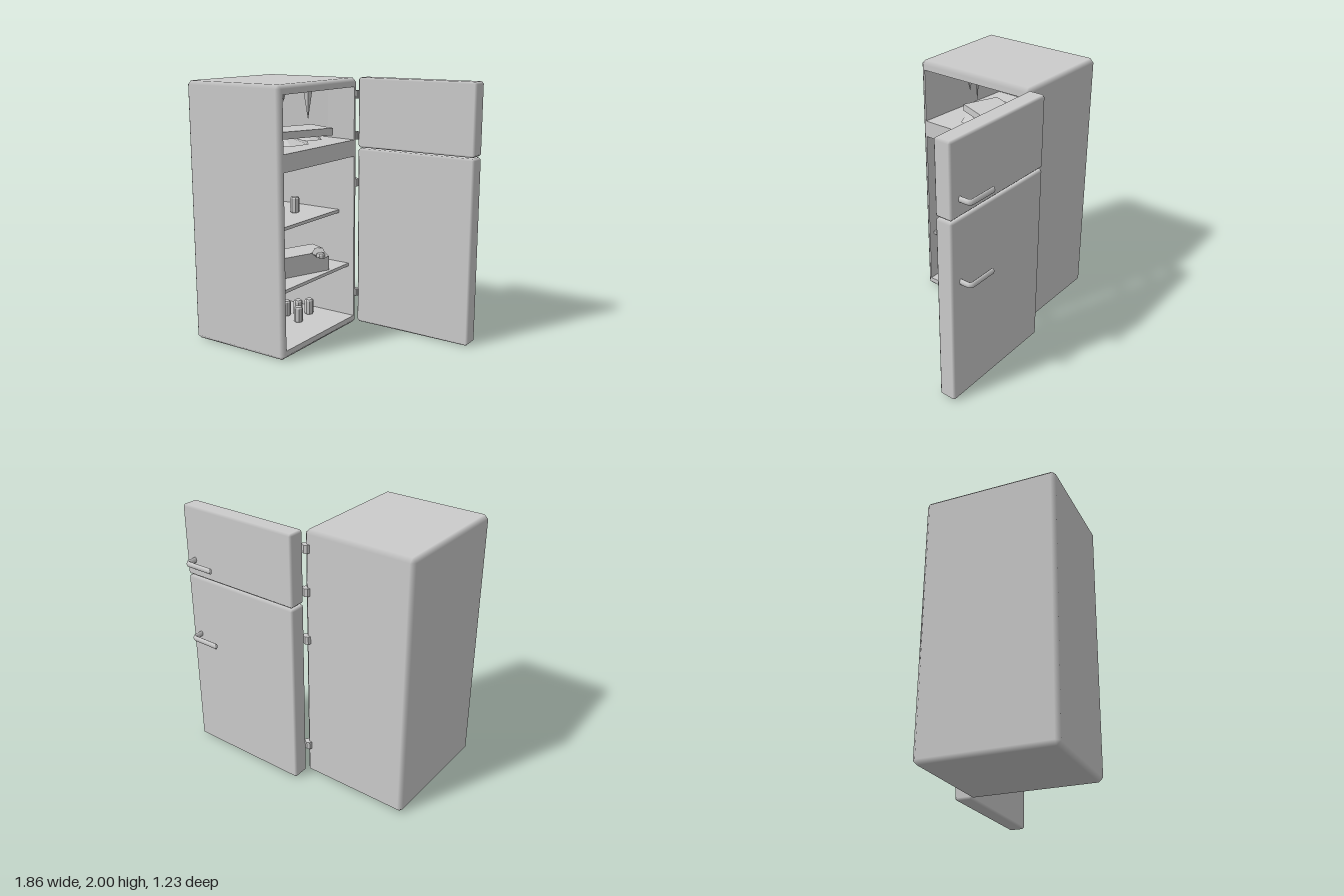
import * as THREE from 'three';
import { ConvexGeometry } from 'three/addons/geometries/ConvexGeometry.js';

const smooth = new THREE.MeshStandardMaterial({ color: 0xcccccc });
const flat = new THREE.MeshStandardMaterial({ color: 0xcccccc, flatShading: true });
const thin = new THREE.MeshStandardMaterial({ color: 0xcccccc, flatShading: true, side: THREE.DoubleSide });

function add(parent, name, geometry, material, x = 0, y = 0, z = 0) {
  const mesh = new THREE.Mesh(geometry, material);
  mesh.name = name;
  mesh.position.set(x, y, z);
  parent.add(mesh);
  return mesh;
}

// Box with chamfered edges whose normals blend across the chamfers only
function chamferBox(w, h, d, c, openRight = false) {
  const half = [w / 2, h / 2, d / 2], points = [];
  for (const sx of [-1, 1]) for (const sy of [-1, 1]) for (const sz of [-1, 1])
    for (let axis = 0; axis < 3; axis++) {
      const s = [sx, sy, sz];
      points.push(new THREE.Vector3(...half.map((v, i) => s[i] * (i === axis ? v : v - c))));
    }
  const hull = new ConvexGeometry(points).getAttribute('position');
  const pos = [], nor = [];
  for (let i = 0; i < hull.count; i += 3) {
    const tri = [0, 1, 2].map(k => new THREE.Vector3().fromBufferAttribute(hull, i + k));
    if (openRight && tri.every(p => p.x > half[0] - 1e-4)) continue;
    for (const p of tri) {
      const a = p.toArray();
      pos.push(...a);
      nor.push(...a.map((v, k) => (Math.abs(v) > half[k] - 1e-4 ? Math.sign(v) : 0)));
    }
  }
  const g = new THREE.BufferGeometry();
  g.setAttribute('position', new THREE.Float32BufferAttribute(pos, 3));
  g.setAttribute('normal', new THREE.Float32BufferAttribute(nor, 3));
  return g;
}

// Hollow lofted through rectangles [x, z0, z1, y0, y1], closed at the last one
function hollow(rings) {
  const pos = [], index = [];
  for (const [x, z0, z1, y0, y1] of rings) pos.push(x, y0, z0, x, y0, z1, x, y1, z1, x, y1, z0);
  for (let r = 0; r < rings.length - 1; r++)
    for (let k = 0; k < 4; k++) {
      const a = r * 4 + k, b = r * 4 + (k + 1) % 4;
      index.push(a, a + 4, b, b, a + 4, b + 4);
    }
  const e = (rings.length - 1) * 4;
  index.push(e, e + 2, e + 1, e, e + 3, e + 2);
  const g = new THREE.BufferGeometry();
  g.setAttribute('position', new THREE.Float32BufferAttribute(pos, 3));
  g.setIndex(index);
  g.computeVertexNormals();
  return g;
}

function polygon(points) {
  return new THREE.Shape(points.map(p => new THREE.Vector2(...p)));
}
const rect = (x0, x1, y0, y1) => [[x0, y0], [x1, y0], [x1, y1], [x0, y1]];

function buildCabinet(root) {
  const g = new THREE.Group();
  g.name = 'cabinet';
  root.add(g);
  add(g, 'cabinetShell', chamferBox(0.86, 2, 1, 0.03, true), smooth, -0.5, 1, 0.115);

  // Front frame around the two compartments
  const frame = polygon(rect(-0.585, 0.355, 0.03, 1.97));
  frame.holes.push(polygon(rect(-0.57, 0.335, 0.07, 1.39)), polygon(rect(-0.57, 0.335, 1.52, 1.93)));
  add(g, 'frontFrame', new THREE.ShapeGeometry(frame).rotateY(Math.PI / 2), flat, -0.07);

  add(g, 'fridgeCompartment', hollow([
    [-0.07, -0.335, 0.57, 0.07, 1.39], [-0.88, -0.335, 0.57, 0.07, 1.39]]), thin);
  add(g, 'freezerCompartment', hollow([
    [-0.07, -0.335, 0.57, 1.52, 1.93], [-0.3, -0.31, 0.54, 1.53, 1.915],
    [-0.84, -0.21, 0.45, 1.56, 1.88]]), thin);

  // Shelves, the upper one shallower
  for (const [front, y] of [[-0.12, 0.4975], [-0.21, 0.9325]])
    add(g, 'shelf', new THREE.BoxGeometry(front + 0.88, 0.025, 0.905), flat, (front - 0.88) / 2, y, 0.1175);
}

function buildDoor(root, name, y0, y1, handleY, hingeYs) {
  const g = new THREE.Group();
  g.name = name;
  root.add(g);
  add(g, 'doorPanel', chamferBox(0.995, y1 - y0, 0.135, 0.016), smooth, 0.4275, (y0 + y1) / 2, -0.4535);

  // Bent handle with an oval section
  const path = new THREE.CurvePath();
  const v = (x, z) => new THREE.Vector3(x, 0, z);
  path.add(new THREE.LineCurve3(v(0.837, -0.51), v(0.837, -0.58)));
  path.add(new THREE.QuadraticBezierCurve3(v(0.837, -0.58), v(0.837, -0.605), v(0.81, -0.605)));
  path.add(new THREE.LineCurve3(v(0.81, -0.605), v(0.605, -0.605)));
  const handle = add(g, 'handle', new THREE.TubeGeometry(path, 24, 0.0135, 8), smooth, 0, handleY, 0);
  handle.scale.y = 1.7;
  const end = add(g, 'handleEnd', new THREE.SphereGeometry(0.0135, 8, 6), smooth, 0.605, handleY, -0.605);
  end.scale.set(0.5, 1.7, 1);

  // Hinge knuckles and leaves
  for (const y of hingeYs) {
    add(g, 'hingeKnuckle', new THREE.CylinderGeometry(0.031, 0.031, 0.06, 8), flat, -0.093, y, -0.382);
    add(g, 'hingeLeaf', new THREE.BoxGeometry(0.035, 0.06, 0.022), flat, -0.0755, y, -0.386);
  }
}

function addCan(parent, x, y, z) {
  const profile = [[0, 0], [0.033, 0], [0.037, 0.01], [0.037, 0.113], [0.029, 0.125], [0, 0.125]];
  add(parent, 'can', new THREE.LatheGeometry(profile.map(p => new THREE.Vector2(...p)), 8), flat, x, y, z);
}

// Torn carton: local x runs along the long side from the torn corner, z across it
function buildCarton(parent) {
  const g = new THREE.Group();
  g.name = 'carton';
  g.position.set(-0.145, 0.51, -0.09);
  g.rotation.y = -Math.PI / 2 - 0.38;
  parent.add(g);
  const L = 0.437, W = 0.24, H = 0.16;
  const front = polygon([[0, 0], [L, 0], [L, H], [0.16, H], [0.11, 0.12], [0.05, 0.1], [0, 0.115]]);
  const side = polygon([[0, 0], [W, 0], [W, H], [0.09, H], [0.05, 0.13], [0, 0.115]]);
  const top = polygon([[0.16, 0], [L, 0], [L, W], [0, W], [0, 0.09], [0.06, 0.11], [0.1, 0.06]]);
  add(g, 'cartonFront', new THREE.ShapeGeometry(front), thin);
  add(g, 'cartonBack', new THREE.PlaneGeometry(L, H), thin, L / 2, H / 2, W);
  add(g, 'cartonTornEnd', new THREE.ShapeGeometry(side).rotateY(-Math.PI / 2), thin);
  add(g, 'cartonFarEnd', new THREE.PlaneGeometry(W, H).rotateY(Math.PI / 2), thin, L, H / 2, W / 2);
  add(g, 'cartonTop', new THREE.ShapeGeometry(top).rotateX(Math.PI / 2), thin, 0, H, 0);
  addCan(g, 0.045, 0.008, 0.05);
  addCan(g, 0.125, 0.008, 0.05);
}

function buildContents(root) {
  const g = new THREE.Group();
  g.name = 'contents';
  root.add(g);
  for (const [x, z] of [[-0.5, 0.405], [-0.48, 0.12], [-0.45, -0.06]]) addCan(g, x, 0.945, z);
  for (const [x, z] of [[-0.45, 0.18], [-0.36, 0.03], [-0.53, -0.035], [-0.46, -0.1], [-0.4, -0.17]])
    addCan(g, x, 0.073, z);
  buildCarton(g);

  // Flat frozen package resting askew on frost
  const pack = add(g, 'frozenPackage', new THREE.BoxGeometry(0.52, 0.055, 0.3).translate(0.26, 0, 0.15),
    flat, -0.11, 1.607, -0.1);
  pack.rotation.y = -Math.PI / 2 - 0.37;

  // Frost mounds, flattened low cones
  for (const [x, z, r] of [[-0.35, 0.2, 0.2], [-0.35, -0.08, 0.13], [-0.6, 0.3, 0.16]])
    add(g, 'frostMound', new THREE.ConeGeometry(r, 0.06, 7), flat, x, 1.565, z);

  // Icicles: [x, z, tip height, radius]
  for (const [x, z, tip, r] of [[-0.3, 0.32, 1.76, 0.033], [-0.5, 0, 1.82, 0.022],
    [-0.35, -0.11, 1.68, 0.036], [-0.55, 0.45, 1.57, 0.03]]) {
    const h = 1.905 - tip;
    add(g, 'icicle', new THREE.ConeGeometry(r, h, 5).rotateX(Math.PI), flat, x, tip + h / 2, z);
  }
}

export function createModel() {
  const root = new THREE.Group();
  root.name = 'refrigerator';
  buildCabinet(root);
  buildDoor(root, 'freezerDoor', 1.455, 2, 1.588, [1.87, 1.55]);
  buildDoor(root, 'fridgeDoor', 0.005, 1.447, 0.975, [1.175, 0.26]);
  buildContents(root);
  return root;
}
